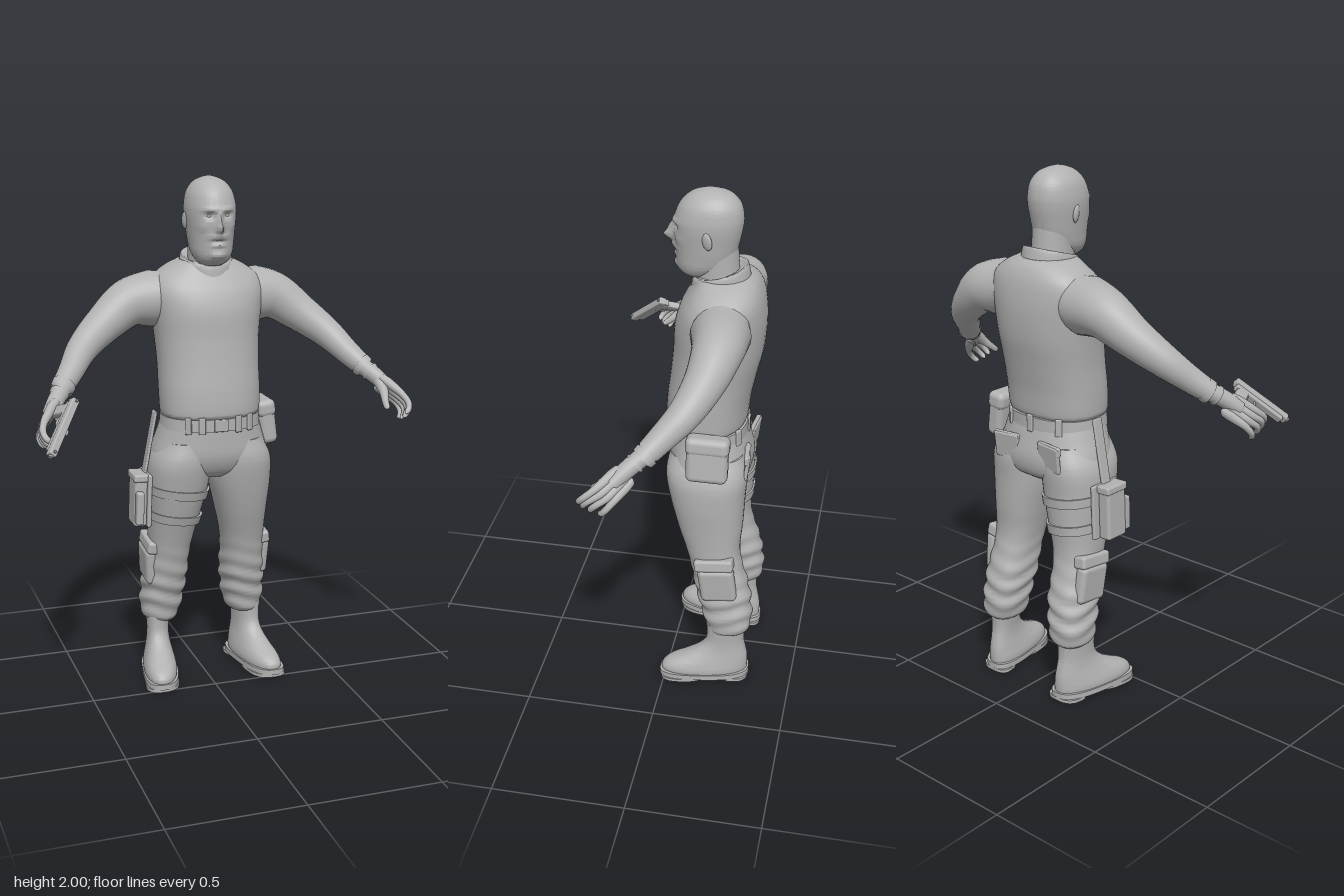
import * as THREE from 'three';
import { toCreasedNormals } from 'three/addons/utils/BufferGeometryUtils.js';
import { RoundedBoxGeometry } from 'three/addons/geometries/RoundedBoxGeometry.js';

const clay = new THREE.MeshStandardMaterial({ color: 0xb2b2b2 });
clay.name = 'plain grey';
const CX = 0.015; // the body's own centre line
const V = (x, y, z) => new THREE.Vector3(x, y, z);

function add(parent, name, geo, pos, rot) {
  const m = new THREE.Mesh(geo, clay);
  m.name = name;
  if (pos) m.position.set(...pos);
  if (rot) m.rotation.set(...rot);
  parent.add(m);
  return m;
}

// Horizontal superellipse rings, rows are [y, centreX, radiusX, zFront, zBack], from the bottom up
function loft(rows, { steps = 40, seg = 48, power = 2.3, warp, smooth = true } = {}) {
  let rings = rows;
  if (smooth) {
    const a = new THREE.CatmullRomCurve3(rows.map(r => V(r[0], r[1], r[2])), false, 'catmullrom');
    const b = new THREE.CatmullRomCurve3(rows.map(r => V(r[3], r[4], 0)), false, 'catmullrom');
    rings = Array.from({ length: steps + 1 }, (_, i) => {
      const p = a.getPoint(i / steps), q = b.getPoint(i / steps);
      return [p.x, p.y, p.z, q.x, q.y];
    });
  }
  const close = r => { const c = (r[3] + r[4]) / 2; return [r[0], r[1], 0.0005, c + 0.0005, c - 0.0005]; };
  rings = [close(rings[0]), ...rings, close(rings[rings.length - 1])];
  const pos = [], idx = [], e = 2 / power;
  const f = t => Math.sign(t) * Math.abs(t) ** e;
  rings.forEach(([y, cx, rx, zf, zb], i) => {
    for (let j = 0; j < seg; j++) {
      const t = (j / seg) * Math.PI * 2;
      const p = V(cx + rx * f(Math.cos(t)), y, (zf + zb) / 2 + (zf - zb) / 2 * f(Math.sin(t)));
      if (warp) warp(p, t);
      pos.push(p.x, p.y, p.z);
      const a = i * seg + j, b = i * seg + (j + 1) % seg;
      if (i < rings.length - 1) idx.push(a, a + seg, b, b, a + seg, b + seg);
    }
  });
  const g = new THREE.BufferGeometry();
  g.setAttribute('position', new THREE.Float32BufferAttribute(pos, 3));
  g.setIndex(idx);
  return toCreasedNormals(g, 0.9);
}

// Tube through points with a radius at each point and rounded ends
function limb(points, radii, seg = 24, sides = 16) {
  const curve = new THREE.CatmullRomCurve3(points.map(p => V(...p)));
  const g = new THREE.TubeGeometry(curve, seg, 1, sides), p = g.attributes.position;
  const n = radii.length - 1, v = V(0, 0, 0);
  for (let i = 0; i <= seg; i++) {
    const t = i / seg, k = Math.min(Math.floor(t * n), n - 1);
    const end = Math.min(1, Math.sqrt(Math.min(t, 1 - t) * seg / 2 + 0.0001));
    const r = THREE.MathUtils.lerp(radii[k], radii[k + 1], t * n - k) * end;
    const c = curve.getPointAt(t);
    for (let j = 0; j <= sides; j++) {
      const q = i * (sides + 1) + j;
      v.fromBufferAttribute(p, q).sub(c).multiplyScalar(r).add(c);
      p.setXYZ(q, v.x, v.y, v.z);
    }
  }
  return g;
}

// Strap around a ring of the body
function band(at, y0, y1, out, warp) {
  const [a, b] = [at(y0), at(y1)];
  const grow = (r, d) => [r[0], r[1], r[2] + d, r[3] + d, r[4] - d];
  return loft([grow(a, -0.01), grow(a, out), grow(b, out), grow(b, -0.01)], { smooth: false, warp });
}
const box = (w, h, d, r = 0.012) => new RoundedBoxGeometry(w, h, d, 3, r);

const LEG = [
  [0.225, 0.178, 0.056, -0.17, -0.31], [0.24, 0.178, 0.07, -0.16, -0.325], [0.28, 0.175, 0.081, -0.15, -0.335],
  [0.34, 0.17, 0.084, -0.135, -0.332], [0.42, 0.163, 0.087, -0.112, -0.32], [0.52, 0.155, 0.083, -0.09, -0.29],
  [0.6, 0.148, 0.088, -0.068, -0.278], [0.7, 0.138, 0.102, -0.035, -0.285], [0.82, 0.128, 0.12, -0.004, -0.29],
  [0.92, 0.122, 0.12, 0.012, -0.295], [1.0, 0.105, 0.095, 0, -0.275]];
function legAt(y, s) {
  const i = Math.max(1, LEG.findIndex(r => r[0] >= y)), a = LEG[i - 1], b = LEG[i];
  const r = a.map((v, k) => THREE.MathUtils.lerp(v, b[k], (y - a[0]) / (b[0] - a[0])));
  r[1] = CX + s * r[1];
  return r;
}

// Face relief: [x, y, push, spreadX, spreadY]
const FACE = [
  [0, 1.815, 0.036, 0.014, 0.018], [0, 1.845, 0.02, 0.01, 0.025], [0.034, 1.862, -0.017, 0.017, 0.011],
  [0.034, 1.885, 0.008, 0.03, 0.009], [0.06, 1.82, 0.007, 0.018, 0.018], [0, 1.785, 0.013, 0.034, 0.01],
  [0, 1.768, -0.008, 0.025, 0.005], [0, 1.752, 0.008, 0.022, 0.007], [0, 1.715, 0.013, 0.03, 0.016]];
function relief(p, t) {
  const front = Math.max(0, Math.sin(t));
  for (const [x, y, push, sx, sy] of FACE) {
    p.z += front * push * Math.exp(-(((Math.abs(p.x - CX) - x) / sx) ** 2) - ((p.y - y) / sy) ** 2);
  }
}

function buildHead(g) {
  add(g, 'head', loft([
    [1.672, CX, 0.035, -0.05, -0.12], [1.69, CX, 0.06, -0.018, -0.15], [1.72, CX, 0.077, -0.005, -0.19],
    [1.76, CX, 0.084, 0.0, -0.215], [1.81, CX, 0.09, 0.004, -0.228], [1.86, CX, 0.095, 0.008, -0.238],
    [1.9, CX, 0.094, 0.004, -0.24], [1.945, CX, 0.083, -0.015, -0.23], [1.978, CX, 0.058, -0.048, -0.202],
    [1.994, CX, 0.028, -0.085, -0.165], [2.0, CX, 0.006, -0.115, -0.135]], { steps: 84, seg: 96, power: 2.1, warp: relief }));
  add(g, 'neck', loft([[1.6, CX, 0.085, -0.06, -0.25], [1.68, CX, 0.074, -0.065, -0.232], [1.8, CX, 0.075, -0.06, -0.222]], { power: 2 }));
  for (const s of [1, -1]) {
    const ear = add(g, 'ear', new THREE.SphereGeometry(1, 16, 12), [CX + s * 0.093, 1.838, -0.125], [0.2, s * -0.35, 0]);
    ear.scale.set(0.009, 0.033, 0.02);
    const eye = add(g, 'eye', new THREE.SphereGeometry(0.0125, 16, 12), [CX + s * 0.034, 1.86, -0.023]);
    eye.scale.y = 0.8;
  }
}

function buildTorso(g) {
  add(g, 'sweater', loft([
    [1.095, CX, 0.185, 0.02, -0.265], [1.115, CX, 0.194, 0.03, -0.275], [1.2, CX, 0.197, 0.026, -0.285],
    [1.3, CX, 0.197, 0.014, -0.305], [1.4, CX, 0.203, 0.004, -0.326], [1.5, CX, 0.214, -0.002, -0.333],
    [1.57, CX, 0.222, -0.022, -0.328], [1.62, CX, 0.206, -0.05, -0.318], [1.66, CX, 0.155, -0.075, -0.3],
    [1.685, CX, 0.105, -0.085, -0.275]], { steps: 56 }));
  // Collar is low in front and high behind
  add(g, 'collar', loft([[1.65, CX, 0.105, -0.055, -0.27], [1.69, CX, 0.1, -0.06, -0.262], [1.7, CX, 0.093, -0.067, -0.255],
    [1.69, CX, 0.078, -0.08, -0.24]], { steps: 16, power: 2, warp: p => { p.y += (-0.16 - p.z) * 0.28; } }));
  for (const s of [1, -1]) {
    const X = x => CX * 0.7 + s * x;
    add(g, 'sleeve', limb([[X(0.1), 1.545, -0.19], [X(0.19), 1.54, -0.195], [X(0.29), 1.525, -0.2], [X(0.39), 1.458, -0.176],
      [X(0.49), 1.378, -0.122], [X(0.555), 1.305, -0.05], [X(0.6), 1.258, 0.0]],
      [0.09, 0.108, 0.088, 0.073, 0.061, 0.05, 0.041], 48, 28));
    add(g, 'sleeveCuff', limb([[X(0.582), 1.274, -0.02], [X(0.607), 1.25, 0.008]], [0.047, 0.042], 8, 24));
    buildHand(g, s, X);
  }
}

function buildHand(g, s, X) {
  const hand = new THREE.Group();
  hand.name = s > 0 ? 'leftHand' : 'rightHand';
  g.add(hand);
  add(hand, 'wrist', limb([[X(0.585), 1.268, -0.01], [X(0.63), 1.228, 0.045], [X(0.672), 1.18, 0.1]], [0.034, 0.032, 0.028]));
  add(hand, 'wristBand', limb([[X(0.608), 1.25, 0.014], [X(0.622), 1.236, 0.032]], [0.037, 0.037], 6, 20));
  for (let k = 0; k < 4; k++) { // each finger runs on into the palm
    const y = -0.014 * k, z = -0.021 * k, L = [0, 0.006, 0.002, -0.012][k];
    add(hand, 'finger', limb([[X(0.632), 1.235 + y, 0.065 + z * 0.6], [X(0.668), 1.203 + y, 0.108 + z * 0.8],
      [X(0.698), 1.172 + y, 0.148 + z], [X(0.709), 1.145 + y, 0.182 + z + L], [X(0.7), 1.124 + y, 0.2 + z + L],
      [X(0.684), 1.11 + y - L, 0.205 + z + L]], [0.017, 0.02, 0.017, 0.013, 0.012, 0.011], 28, 12));
  }
  add(hand, 'thumb', limb([[X(0.632), 1.22, 0.06], [X(0.636), 1.182, 0.108], [X(0.628), 1.15, 0.145], [X(0.624), 1.125, 0.178]],
    [0.024, 0.02, 0.014, 0.011]));
}

function buildTrousers(g) {
  const hips = [[0.85, CX, 0.12, -0.05, -0.25], [0.88, CX, 0.205, -0.012, -0.288], [0.94, CX, 0.23, 0.014, -0.3],
    [1.02, CX, 0.208, 0.018, -0.285], [1.1, CX, 0.184, 0.018, -0.266]];
  add(g, 'trouserSeat', loft(hips));
  const waist = y => [y, CX, 0.193 - (y - 1.05) * 0.1, 0.022, -0.274];
  add(g, 'belt', band(waist, 1.05, 1.098, 0.004));
  add(g, 'buckle', box(0.055, 0.046, 0.014, 0.004), [CX, 1.074, 0.028]);
  for (const t of [0.95, 1.25, 1.9, 2.2, 4.1, 4.71, 5.3]) {
    const e = 2 / 2.3, f = v => Math.sign(v) * Math.abs(v) ** e;
    add(g, 'beltLoop', box(0.026, 0.066, 0.012, 0.004),
      [CX + 0.196 * f(Math.cos(t)), 1.075, -0.126 + 0.153 * f(Math.sin(t))], [0, Math.PI / 2 - t, 0]);
  }
  for (const s of [1, -1]) {
    // Folds gather above the cuff and behind the knee
    const folds = (p, t) => {
      const k = Math.exp(-(((p.y - 0.36) / 0.13) ** 2)) * 0.005 * Math.sin(p.y * 85 + 1.6 * Math.sin(t * 2));
      p.x += k * Math.cos(t); p.z += k * Math.sin(t);
    };
    add(g, 'trouserLeg', loft(LEG.map(r => [r[0], CX + s * r[1], ...r.slice(2)]), { steps: 90, warp: folds }));
    add(g, 'cargoPocket', box(0.05, 0.15, 0.14, 0.02), [CX + s * 0.232, 0.475, -0.205], [0.12, 0, s * -0.06]);
    add(g, 'pocketFlap', box(0.056, 0.05, 0.15, 0.012), [CX + s * 0.226, 0.562, -0.19], [0.12, 0, s * 0.14]);
    add(g, 'backPocket', box(0.11, 0.1, 0.016, 0.006), [CX + s * 0.105, 0.965, -0.29], [-0.12, s * 0.12, 0]);
    add(g, 'backPocketFlap', box(0.116, 0.035, 0.018, 0.006), [CX + s * 0.105, 1.0, -0.289], [-0.02, s * 0.12, 0]);
  }
}

function buildBoot(g, s) {
  const splay = p => { p.x += s * (p.z + 0.25) * 0.17; };
  const x = CX + s * 0.186;
  add(g, 'boot', loft([
    [0.022, x, 0.066, 0.012, -0.322], [0.05, x, 0.068, 0.012, -0.324], [0.075, x, 0.063, -0.012, -0.324],
    [0.1, x, 0.056, -0.065, -0.322], [0.135, x, 0.048, -0.125, -0.315], [0.18, x, 0.045, -0.16, -0.308],
    [0.26, x, 0.05, -0.165, -0.312]], { warp: splay }));
  const slab = (name, y0, y1, zf, zb, w) => add(g, name, loft(
    [[y0, x, w, zf, zb], [y1, x, w, zf, zb]], { smooth: false, power: 2.8, warp: splay }));
  slab('sole', 0.012, 0.034, 0.02, -0.33, 0.072);
  slab('frontTread', 0, 0.013, 0.014, -0.17, 0.07);
  slab('heel', 0, 0.013, -0.225, -0.33, 0.064);
}

function buildGear(g) {
  add(g, 'beltPouch', box(0.07, 0.175, 0.155, 0.024), [0.247, 1.04, -0.16], [0, 0, 0.12]);
  add(g, 'beltPouchFlap', box(0.078, 0.07, 0.163, 0.024), [0.24, 1.096, -0.16], [0, 0, 0.12]);
  // Thigh straps and holster on the right leg
  const tilt = p => { p.y -= (p.x + 0.12) * 0.12; };
  for (const y of [0.775, 0.665]) add(g, 'thighStrap', band(h => legAt(h, -1), y, y + 0.036, 0.007, tilt));
  const holster = new THREE.Group();
  holster.name = 'holster';
  holster.position.set(-0.265, 0.77, -0.15);
  holster.rotation.z = -0.04;
  g.add(holster);
  add(holster, 'backPlate', box(0.016, 0.21, 0.14, 0.006), [0.026, -0.005, 0]);
  add(holster, 'shell', box(0.052, 0.2, 0.1, 0.012), [-0.006, -0.01, 0.005]);
  add(holster, 'magazinePouch', box(0.03, 0.13, 0.036, 0.008), [-0.014, -0.03, 0.066]);
  add(holster, 'holsterFlap', box(0.06, 0.03, 0.11, 0.008), [-0.006, 0.085, 0.005]);
  add(g, 'holsterHanger', box(0.012, 0.25, 0.045, 0.005), [-0.221, 0.985, -0.15], [0, 0, -0.19]);
}

function buildPistol(g) {
  const gun = new THREE.Group();
  gun.name = 'pistol';
  const f = V(-0.135, -0.17, 0.17).normalize(), up = V(0.054, 0.051, 0.094);
  const side = up.clone().cross(f).normalize();
  gun.quaternion.setFromRotationMatrix(new THREE.Matrix4().makeBasis(side, f.clone().cross(side), f));
  gun.position.set(-0.643, 1.172, 0.242);
  g.add(gun);
  add(gun, 'slide', box(0.03, 0.03, 0.25, 0.005), [0, 0.006, 0]);
  add(gun, 'frame', box(0.026, 0.02, 0.22, 0.004), [0, -0.016, -0.01]);
  add(gun, 'muzzle', new THREE.CylinderGeometry(0.009, 0.009, 0.02, 16), [0, 0.006, 0.122], [Math.PI / 2, 0, 0]);
  add(gun, 'grip', box(0.028, 0.11, 0.046, 0.008), [0, -0.065, -0.098], [0.22, 0, 0]);
  add(gun, 'triggerGuard', new THREE.TorusGeometry(0.02, 0.004, 8, 20), [0, -0.036, -0.045], [0, Math.PI / 2, 0]);
  for (const z of [-0.115, 0.112]) add(gun, 'sight', box(0.008, 0.01, 0.01, 0.002), [0, 0.024, z]);
}

export function createModel() {
  const model = new THREE.Group();
  model.name = 'standingMan';
  buildHead(model);
  buildTorso(model);
  buildTrousers(model);
  for (const s of [1, -1]) buildBoot(model, s);
  buildGear(model);
  buildPistol(model);
  return model;
}
